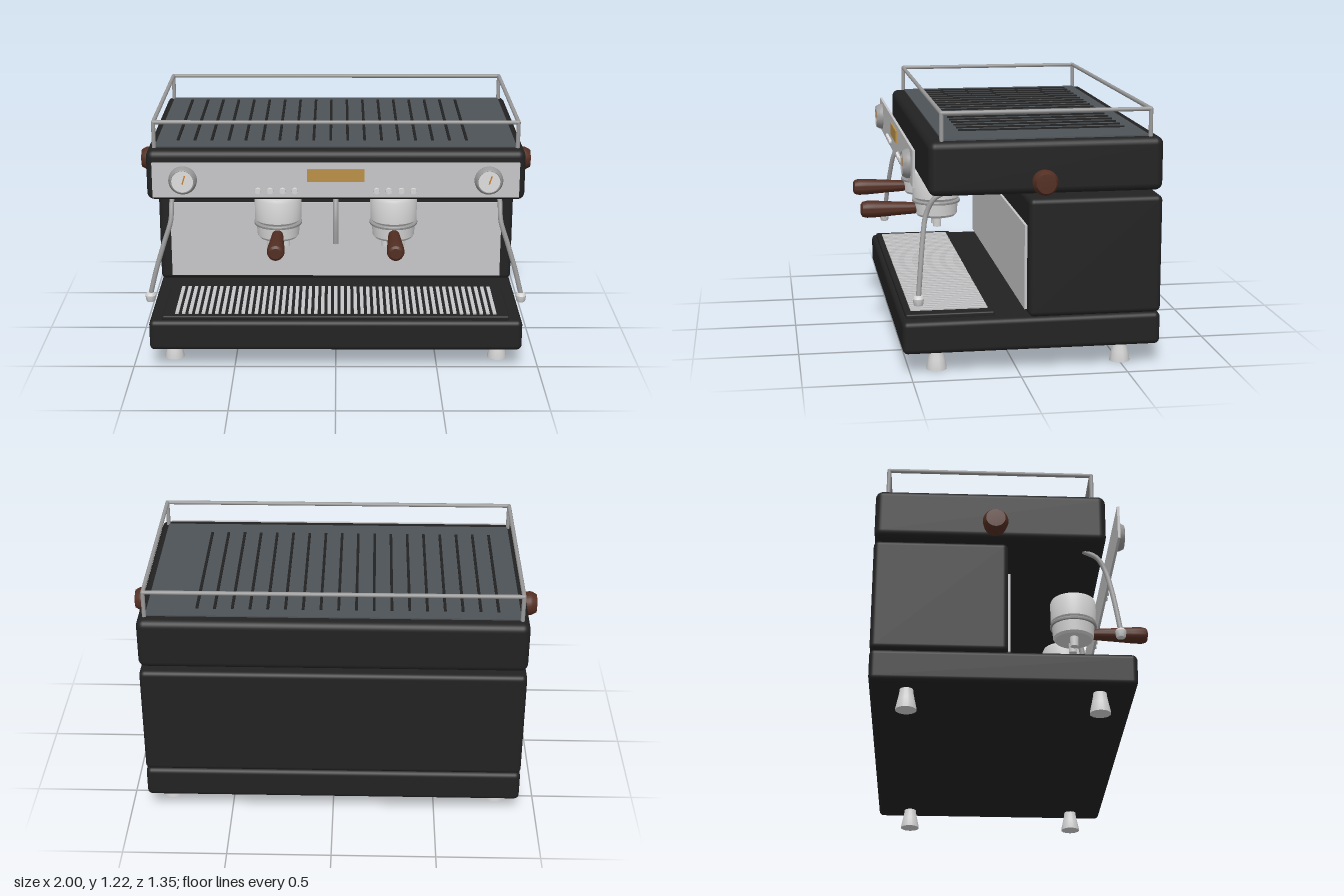
import * as THREE from 'three';
import { RoundedBoxGeometry } from 'three/addons/geometries/RoundedBoxGeometry.js';
import { toCreasedNormals } from 'three/addons/utils/BufferGeometryUtils.js';

const mat = (name, color) => {
  const m = new THREE.MeshStandardMaterial({ color });
  m.name = name;
  return m;
};

export function createModel() {
  const model = new THREE.Group();
  model.name = 'espressoMachine';

  const black = mat('black enamel', 0x222222);
  const steel = mat('brushed steel', 0xc6c6c8);
  const chrome = mat('chrome', 0xd4d4d4);
  const tube = mat('tube steel', 0x9a9a9a);
  const slate = mat('slate grey', 0x4e5357);
  const wood = mat('dark wood', 0x532e22);
  const gold = mat('amber display', 0xb98f45);
  const dial = mat('dial white', 0xdedede);
  const needleMat = mat('needle orange', 0xc87f2c);

  const add = (name, geo, material, x = 0, y = 0, z = 0, parent = model) => {
    const mesh = new THREE.Mesh(geo, material);
    mesh.name = name;
    mesh.position.set(x, y, z);
    parent.add(mesh);
    return mesh;
  };
  // Box given by its limits in y and z, centred on x
  const slab = (name, w, y0, y1, z0, z1, material, r = 0, x = 0) => {
    const s = [w, y1 - y0, z1 - z0];
    const geo = r ? new RoundedBoxGeometry(...s, 4, r) : new THREE.BoxGeometry(...s);
    return add(name, geo, material, x, (y0 + y1) / 2, (z0 + z1) / 2);
  };
  // Turned part from [radius, height] pairs, bottom to top
  const turned = (points, segments = 32) => toCreasedNormals(
    new THREE.LatheGeometry(points.map(([r, y]) => new THREE.Vector2(r, y)), segments), 0.5);
  const pipe = (points, r, segments = 32) => new THREE.TubeGeometry(
    new THREE.CatmullRomCurve3(points.map(p => new THREE.Vector3(...p))), segments, r, 12);

  // Housing
  slab('base', 1.83, 0.1, 0.255, -0.675, 0.535, black, 0.025);
  slab('body', 1.83, 0.255, 0.812, -0.675, -0.05, black, 0.025);
  slab('head', 1.83, 0.835, 1.085, -0.675, 0.41, black, 0.035);
  slab('splashPanel', 1.71, 0.28, 0.68, -0.052, -0.038, steel);

  // Feet
  const footGeo = turned([[0, 0], [0.048, 0], [0.048, 0.008], [0.039, 0.05], [0.033, 0.08], [0.03, 0.105], [0, 0.105]]);
  for (const x of [-0.81, 0.81])
    for (const z of [0.37, -0.505]) add('foot', footGeo, chrome, x, 0, z);

  // Drip tray and its grate
  slab('dripTray', 1.7, 0.25, 0.275, 0.1, 0.515, black, 0.008);
  for (let i = 0; i < 49; i++)
    slab('grateBar', 0.017, 0.272, 0.282, 0.126, 0.487, steel, 0, -0.78 + i * 0.0325);

  // Cup warmer with raised ribs
  slab('cupWarmer', 1.75, 1.08, 1.091, -0.615, 0.345, slate);
  for (let i = 0; i < 18; i++)
    slab('warmerRib', 0.013, 1.088, 1.098, -0.55, 0.24, black, 0, -0.772 + i * 0.083);

  // Cup rail
  const rail = new THREE.Group();
  rail.name = 'cupRail';
  model.add(rail);
  const [rx, rz0, rz1, ry] = [0.878, -0.617, 0.348, 1.211];
  const along = new THREE.CylinderGeometry(0.01, 0.01, rx * 2, 12).rotateZ(Math.PI / 2);
  const across = new THREE.CylinderGeometry(0.01, 0.01, rz1 - rz0, 12).rotateX(Math.PI / 2);
  const post = new THREE.CylinderGeometry(0.01, 0.01, ry - 1.08, 12);
  const corner = new THREE.SphereGeometry(0.01, 12, 8);
  for (const z of [rz0, rz1]) {
    add('longRail', along, tube, 0, ry, z, rail);
    for (const x of [-rx, rx]) {
      add('railPost', post, tube, x, (ry + 1.08) / 2, z, rail);
      add('railCorner', corner, tube, x, ry, z, rail);
    }
  }
  for (const x of [-rx, rx]) add('sideRail', across, tube, x, ry, (rz0 + rz1) / 2, rail);

  // Control panel
  slab('controlPanel', 1.755, 0.875, 1.046, 0.468, 0.48, steel);
  slab('display', 0.275, 0.955, 1.016, 0.478, 0.487, gold);
  const buttonGeo = new THREE.CylinderGeometry(0.014, 0.016, 0.014, 20).rotateX(Math.PI / 2);
  for (const side of [-1, 1])
    for (const dx of [-0.088, -0.03, 0.03, 0.088])
      add('button', buttonGeo, chrome, side * 0.284 + dx, 0.908, 0.485);

  // Pressure gauges
  const bezelGeo = turned([[0, 0], [0.068, 0], [0.068, 0.014], [0.058, 0.033], [0.054, 0.035], [0.052, 0.03], [0, 0.03]], 40)
    .rotateX(Math.PI / 2);
  const faceGeo = new THREE.CircleGeometry(0.052, 32);
  const needleGeo = new THREE.BoxGeometry(0.006, 0.042, 0.003);
  for (const side of [-1, 1]) {
    const gauge = new THREE.Group();
    gauge.name = 'gauge';
    gauge.position.set(side * 0.73, 0.962, 0.48);
    model.add(gauge);
    add('gaugeBezel', bezelGeo, tube, 0, 0, 0, gauge);
    add('gaugeFace', faceGeo, dial, 0, 0, 0.032, gauge);
    add('gaugeNeedle', needleGeo, needleMat, 0.006, 0.009, 0.0335, gauge).rotation.z = -0.3;
  }

  // Brew groups with portafilters
  const groupGeo = turned([[0, 0.7], [0.1, 0.7], [0.114, 0.715], [0.115, 0.82], [0.108, 0.836], [0, 0.836]], 40);
  const collarGeo = turned([[0, 0.688], [0.116, 0.688], [0.118, 0.692], [0.118, 0.698], [0.114, 0.703], [0, 0.703]], 40);
  const basketGeo = turned([[0, 0.62], [0.092, 0.62], [0.102, 0.632], [0.107, 0.69], [0, 0.69]], 40);
  const spoutGeo = new THREE.CylinderGeometry(0.022, 0.02, 0.06, 20);
  const neckGeo = new THREE.CylinderGeometry(0.02, 0.02, 0.06, 16).rotateX(Math.PI / 2);
  const handleGeo = turned([[0, 0], [0.027, 0], [0.029, 0.02], [0.034, 0.1], [0.041, 0.2], [0.042, 0.24], [0.037, 0.262], [0.026, 0.27], [0, 0.27]])
    .rotateX(Math.PI / 2);
  for (const side of [-1, 1]) {
    const group = new THREE.Group();
    group.name = 'brewGroup';
    group.position.set(side * 0.284, 0, 0.305);
    model.add(group);
    add('groupHead', groupGeo, chrome, 0, 0, 0, group);
    add('lockingCollar', collarGeo, tube, 0, 0, 0, group);
    add('portafilterBasket', basketGeo, chrome, 0, 0, 0, group);
    for (const dx of [-0.037, 0.037]) add('coffeeSpout', spoutGeo, chrome, dx, 0.6, 0, group);
    add('handleNeck', neckGeo, chrome, 0, 0.657, 0.1, group);
    add('portafilterHandle', handleGeo, wood, 0, 0.657, 0.1, group);
  }

  // Hot water spout
  add('waterSpout', pipe([[0, 0.84, 0.3], [0, 0.8, 0.335], [0, 0.74, 0.365], [0, 0.68, 0.376], [0, 0.605, 0.378]], 0.014), tube);

  // Steam wands and side knobs
  const tipGeo = turned([[0, 0], [0.019, 0], [0.023, 0.008], [0.026, 0.032], [0.02, 0.042], [0.012, 0.046], [0, 0.046]], 20);
  const knobGeo = turned([[0, 0], [0.05, 0], [0.054, 0.015], [0.06, 0.05], [0.058, 0.062], [0.045, 0.085], [0, 0.087]], 32);
  for (const s of [-1, 1]) {
    add('steamWand', pipe([[s * 0.8, 0.84, 0.31], [s * 0.8, 0.805, 0.375], [s * 0.802, 0.735, 0.412],
      [s * 0.835, 0.63, 0.432], [s * 0.875, 0.5, 0.448], [s * 0.908, 0.37, 0.462]], 0.012, 48), tube);
    add('steamTip', tipGeo, chrome, s * 0.908, 0.335, 0.462);
    add('steamKnob', knobGeo, wood, s * 0.913, 0.898, -0.112).rotation.z = -s * Math.PI / 2;
  }
  return model;
}
